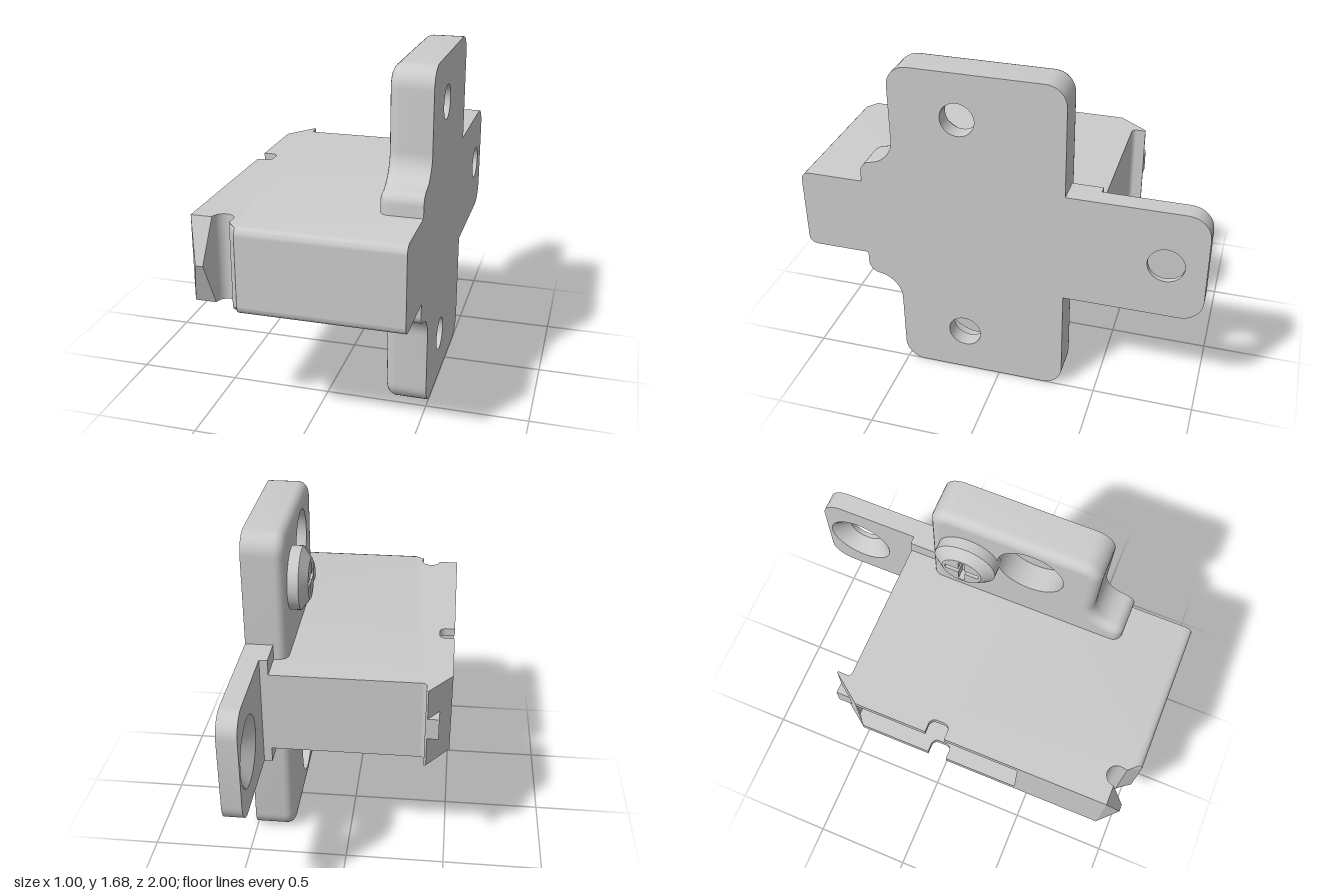
import * as THREE from 'three';
import { toCreasedNormals, mergeGeometries } from 'three/addons/utils/BufferGeometryUtils.js';
import { ConvexGeometry } from 'three/addons/geometries/ConvexGeometry.js';

const material = new THREE.MeshStandardMaterial({ color: 0xcccccc, side: THREE.DoubleSide });
const MID = 0.8425; // height of the symmetry plane

function add(parent, name, geometry, crease = 0.5) {
  const mesh = new THREE.Mesh(toCreasedNormals(geometry, crease), material);
  mesh.name = name;
  parent.add(mesh);
  return mesh;
}

// Closed outline from corners [x, y, cut]; cut is how far the rounding reaches along each edge
function roundedShape(corners) {
  const shape = new THREE.Shape();
  corners.forEach(([x, y, cut = 0], i) => {
    const p = new THREE.Vector2(x, y);
    const towards = (k) => {
      const c = corners[(i + k + corners.length) % corners.length];
      return new THREE.Vector2(c[0], c[1]).sub(p).normalize();
    };
    const a = towards(-1), b = towards(1);
    const at = (d, s) => p.clone().addScaledVector(d, s);
    const start = at(a, cut);
    if (i === 0) shape.moveTo(start.x, start.y);
    else shape.lineTo(start.x, start.y);
    if (cut) {
      const c1 = at(a, cut * 0.45), c2 = at(b, cut * 0.45), end = at(b, cut);
      shape.bezierCurveTo(c1.x, c1.y, c2.x, c2.y, end.x, end.y);
    }
  });
  shape.closePath();
  return shape;
}

function circle(u, v, r) {
  return new THREE.Path().absarc(u, v, r, 0, Math.PI * 2, true);
}

// Plate across x: outline in (-z, y), edge rounded on the -x side only.
// Each hole is { u, v, profile: [[radius, x], ...] } running from x0 to x1.
function addPanel(parent, name, corners, x0, x1, round, holes) {
  const outline = roundedShape(corners).getPoints(8).filter((p, i, all) =>
    p.distanceTo(all[(i + 1) % all.length]) > 1e-5);
  const n = outline.length;
  const normals = outline.map((p, i) => {
    const e1 = p.clone().sub(outline[(i + n - 1) % n]).normalize();
    const e2 = outline[(i + 1) % n].clone().sub(p).normalize();
    const e = e1.add(e2).normalize();
    return new THREE.Vector2(e.y, -e.x);
  });
  const inset = (d) => outline.map((p, i) => p.clone().addScaledVector(normals[i], -d));

  const rings = [];
  for (let k = 0; k <= 6 && round; k++) {
    const a = (k / 6) * Math.PI / 2;
    rings.push([round * (1 - Math.sin(a)), x0 + round * (1 - Math.cos(a))]);
  }
  if (!round) rings.push([0, x0]);
  rings.push([0, x1]);
  const pos = [], index = [];
  rings.forEach(([d, x], k) => {
    inset(d).forEach((p, i) => {
      pos.push(x, p.y, -p.x);
      if (k === 0) return;
      const j = (i + 1) % n, a = (k - 1) * n, b = k * n;
      index.push(a + i, a + j, b + j, a + i, b + j, b + i);
    });
  });
  const side = new THREE.BufferGeometry();
  side.setAttribute('position', new THREE.Float32BufferAttribute(pos, 3));
  side.setIndex(index);
  add(parent, name + 'Edge', side);

  // Flat faces, pierced at the radius each hole has there
  [[x0, round, 0], [x1, 0, -1]].forEach(([x, d, end]) => {
    const face = new THREE.Shape(inset(d));
    holes.forEach((h) => face.holes.push(circle(h.u, h.v, h.profile.at(end)[0])));
    add(parent, name + 'Face', new THREE.ShapeGeometry(face, 24).rotateY(Math.PI / 2).translate(x, 0, 0));
  });
  holes.forEach((h) => addTurned(parent, name + 'Hole', h.profile, h.u, h.v));
}

// Turned surface around an axis along x
function addTurned(parent, name, profile, u, v) {
  const points = profile.map(([r, x]) => new THREE.Vector2(r, x));
  add(parent, name, new THREE.LatheGeometry(points, 48).rotateZ(-Math.PI / 2).translate(0, v, -u));
}

// Layer of the housing: outline in (x, z), from y0 to y1, front edges rounded over
function addLayer(parent, name, shape, y0, y1) {
  const g = new THREE.ExtrudeGeometry(shape, {
    depth: y1 - y0, steps: 6, bevelEnabled: false, curveSegments: 12,
  }).rotateX(-Math.PI / 2).translate(0, y0, 0);
  const p = g.attributes.position, r = 0.04;
  for (let i = 0; i < p.count; i++) {
    const dy = Math.max(0, Math.abs(p.getY(i) - MID) - (0.2075 - r));
    p.setZ(i, Math.min(p.getZ(i), 1 - r + Math.sqrt(Math.max(0, r * r - dy * dy))));
  }
  add(parent, name, g);
}

// Housing outline; mouth lists the corners along the open -x edge
function housingShape(mouth) {
  const groove = [];
  for (let i = 0; i <= 12; i++) {
    const a = (i / 12) * Math.PI;
    groove.push([-0.35 + 0.05 * Math.cos(a), 0.9 - 0.05 * Math.sin(a)]);
  }
  const corners = [
    [0.5, -0.48], [0.5, 1], [-0.26, 1], [-0.305, 0.935], ...groove,
    [-0.5, 0.9], ...mouth, [-0.5, -0.4],
    [-0.39, -0.548], [-0.38, -0.548], [-0.38, -0.48, 0.02],
  ];
  return roundedShape(corners.map(([x, z, r]) => [x, -z, r]));
}

export function createModel() {
  const model = new THREE.Group();
  model.name = 'mountingBracket';

  // Cross plate with two counterbored holes
  const upper = [[-0.51, 0.35, 0.1], [-0.68, 0.31, 0.045]];
  const half = [[0.33, 0.84, 0.1], [-0.51, 0.84, 0.1], ...upper];
  const flip = half.map(([u, v, r]) => [u, -v, r]).reverse();
  const cross = [...half, ...flip].map(([u, v, r]) => [u, v + 0.84, r]);
  const bore = [[0.165, 0.295], [0.165, 0.42], [0.083, 0.42], [0.083, 0.5]];
  const plate = new THREE.Group();
  plate.name = 'crossPlate';
  addPanel(plate, 'plate', cross, 0.295, 0.5, 0.05,
    [1.45, 0.235].map((v) => ({ u: -0.18, v, profile: bore })));
  model.add(plate);

  // Rear tab with a countersunk hole and its thicker root
  const tab = new THREE.Group();
  tab.name = 'rearTab';
  addPanel(tab, 'tab', [[0.3, 0.557], [1, 0.557, 0.11], [1, 1.128, 0.11], [0.3, 1.128]], 0.405, 0.5, 0,
    [{ u: 0.81, v: 0.842, profile: [[0.17, 0.405], [0.088, 0.475], [0.088, 0.5]] }]);
  add(tab, 'tabRoot', new THREE.BoxGeometry(0.135, 0.571, 0.18).translate(0.4325, MID, -0.39));
  model.add(tab);

  // Hollow housing: two notched sheets and the walls between them
  const housing = new THREE.Group();
  housing.name = 'housing';
  const sheet = housingShape([[-0.5, 0.07], [-0.425, 0.07, 0.03], [-0.425, -0.03, 0.03], [-0.5, -0.03]]);
  const walls = housingShape([[-0.5, 0.45], [0.36, 0.45], [0.36, -0.44], [-0.4, -0.44], [-0.45, -0.44]]);
  addLayer(housing, 'bottomSheet', sheet, 0.635, 0.675);
  addLayer(housing, 'sideWalls', walls, 0.675, 1.01);
  addLayer(housing, 'topSheet', sheet, 1.01, 1.05);
  add(housing, 'latchTongue', new THREE.BoxGeometry(0.065, 0.11, 0.1).translate(-0.4125, MID, -0.498));

  // Pointed nose at the front corner
  const nose = [[-0.455, MID, 0.98], [-0.42, MID, 0.98]];
  for (const y of [0.635, 1.05]) nose.push([-0.5, y, 0.9], [-0.4, y, 0.9]);
  add(housing, 'cornerNose', new ConvexGeometry(nose.map((p) => new THREE.Vector3(...p))), 0.1);
  model.add(housing);

  // Screw head with a cross recess
  const screw = new THREE.Group();
  screw.name = 'screw';
  const su = 0.13, sv = 1.395, l = 0.085, w = 0.016;
  addTurned(screw, 'screwHead', [[0.155, 0.32], [0.155, 0.243], [0.1, 0.203]], su, sv);
  const face = new THREE.Shape().absarc(0, 0, 0.1, 0, Math.PI * 2, false);
  face.holes.push(new THREE.Path([
    [l, w], [l, -w], [w, -w], [w, -l], [-w, -l], [-w, -w],
    [-l, -w], [-l, w], [-w, w], [-w, l], [w, l], [w, w],
  ].map(([x, y]) => new THREE.Vector2(x, y))));
  const recess = new THREE.ExtrudeGeometry(face, { depth: 0.05, bevelEnabled: false, curveSegments: 24 });
  const floor = new THREE.CircleGeometry(0.1, 32).translate(0, 0, 0.05).toNonIndexed();
  add(screw, 'screwRecess', mergeGeometries([recess, floor])
    .rotateY(Math.PI / 2).translate(0.203, sv, -su));
  model.add(screw);

  return model;
}
